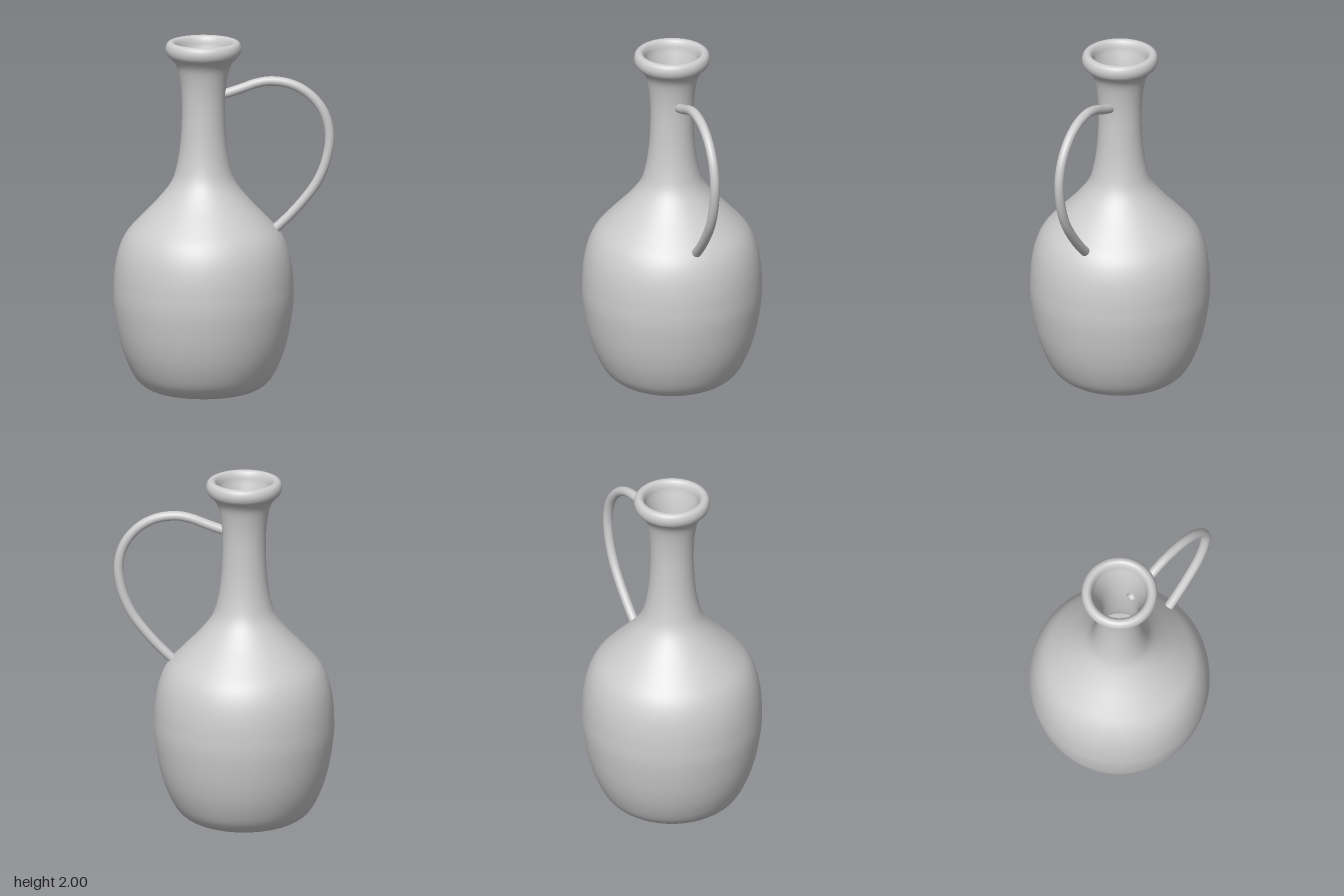
import * as THREE from 'three';

const AXIS_X = -0.116;

// Smooth profile through a few [radius, height] points
function smoothProfile(points, steps) {
  const curve = new THREE.SplineCurve(points.map(([r, y]) => new THREE.Vector2(r, y)));
  return curve.getPoints(steps).map((p) => p.setX(Math.max(p.x, 0)));
}

export function createModel() {
  const group = new THREE.Group();
  group.name = 'jug';
  const clay = new THREE.MeshStandardMaterial({ color: 0xcccccc });
  clay.name = 'light grey clay';

  const add = (name, geometry) => {
    const mesh = new THREE.Mesh(geometry, clay);
    mesh.name = name;
    group.add(mesh);
    return mesh;
  };

  // Vessel: up the outside, over the rolled lip, down the inside to the floor
  const outside = [
    [0, 0.006], [0.1, 0.004], [0.2, 0.003], [0.275, 0.014], [0.34, 0.045], [0.39, 0.1],
    [0.437, 0.2], [0.468, 0.3], [0.488, 0.4], [0.503, 0.52], [0.503, 0.62],
    [0.495, 0.72], [0.473, 0.82], [0.43, 0.91], [0.35, 1.0], [0.255, 1.1],
    [0.18, 1.2], [0.148, 1.3], [0.13, 1.42], [0.122, 1.55], [0.122, 1.67],
    [0.131, 1.77], [0.148, 1.85], [0.174, 1.895], [0.203, 1.925], [0.213, 1.958],
    [0.205, 1.988], [0.185, 2.0], [0.166, 1.994], [0.154, 1.972],
  ];
  const inside = [
    [0.147, 1.94], [0.13, 1.88], [0.112, 1.79], [0.101, 1.67], [0.101, 1.55],
    [0.109, 1.42], [0.127, 1.3], [0.16, 1.2], [0.235, 1.1], [0.33, 1.0],
    [0.41, 0.91], [0.452, 0.82], [0.482, 0.62], [0.466, 0.4], [0.415, 0.2],
    [0.33, 0.075], [0.2, 0.03], [0, 0.03],
  ];
  const vessel = add('vessel', new THREE.LatheGeometry(smoothProfile([...outside, ...inside], 190), 96));
  vessel.position.x = AXIS_X;

  // Handle: round rod looping from the neck to the shoulder
  const path = new THREE.CatmullRomCurve3([
    [-0.03, 1.696], [0.02, 1.708], [0.1, 1.735], [0.18, 1.764], [0.265, 1.777],
    [0.38, 1.758], [0.48, 1.7], [0.558, 1.6], [0.59, 1.475], [0.571, 1.33],
    [0.52, 1.205], [0.445, 1.1], [0.36, 1.005], [0.273, 0.922],
  ].map(([x, y]) => new THREE.Vector3(x, y, 0)));
  const rod = 0.027;
  add('handle', new THREE.TubeGeometry(path, 96, rod, 20));

  // Flat caps closing the two ends of the handle
  for (const [t, sign] of [[0, -1], [1, 1]]) {
    const cap = add('handleEnd', new THREE.CircleGeometry(rod, 20));
    cap.position.copy(path.getPoint(t));
    cap.quaternion.setFromUnitVectors(new THREE.Vector3(0, 0, 1), path.getTangent(t).multiplyScalar(sign));
  }

  return group;
}
